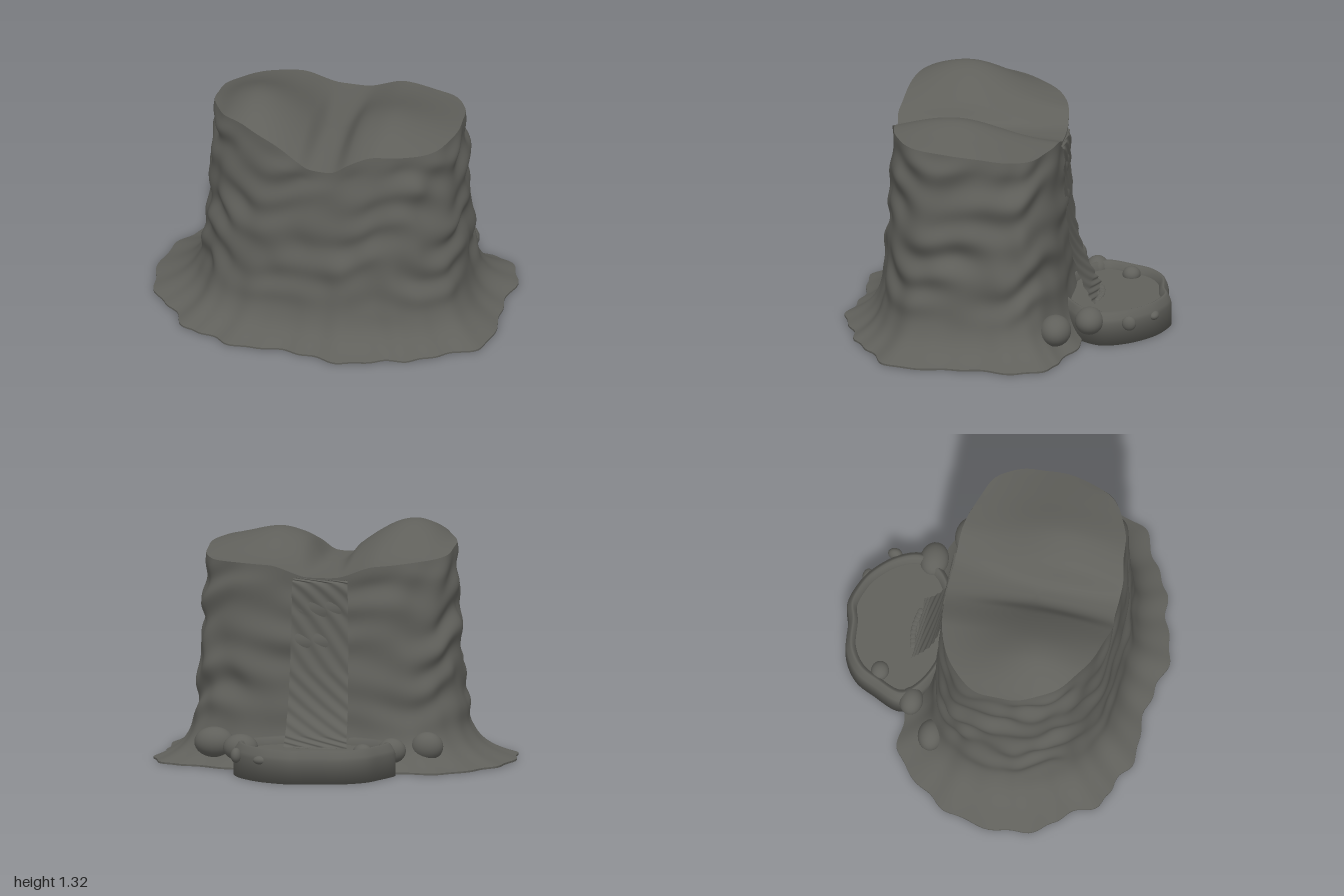
import * as THREE from 'three';

const rock = new THREE.MeshStandardMaterial({ color: 0x60605b });
rock.name = 'dark stone';
const sheet = new THREE.MeshStandardMaterial({ color: 0x60605b, side: THREE.DoubleSide });
sheet.name = 'dark stone sheet';

const N = 240; // samples around every closed outline
const { smoothstep, clamp } = THREE.MathUtils;

const outline = (flat) => {
  const pts = [];
  for (let i = 0; i < flat.length; i += 2) pts.push(new THREE.Vector3(flat[i], 0, flat[i + 1]));
  const curve = new THREE.CatmullRomCurve3(pts, true);
  return Array.from({ length: N }, (_, i) => curve.getPoint(i / N));
};

// Skin a stack of closed rows (each running +x, +z, -x, -z); outside faces out when rows go up
function loft(name, rows) {
  const n = rows[0].length, index = [];
  for (let r = 0; r < rows.length - 1; r++) {
    for (let i = 0; i < n; i++) {
      const a = r * n + i, b = r * n + (i + 1) % n;
      index.push(a, a + n, b, b, a + n, b + n);
    }
  }
  const geo = new THREE.BufferGeometry().setFromPoints(rows.flat());
  geo.setIndex(index);
  geo.computeVertexNormals();
  const mesh = new THREE.Mesh(geo, rock);
  mesh.name = name;
  return mesh;
}

// Ground outline of the apron and matching outline of the cliff top, as x, z pairs
const mid = new THREE.Vector3(0.03, 0, 0.18);
const foot = outline([0.99, -0.15, 0.96, 0.1, 0.97, 0.32, 0.93, 0.58, 0.74, 0.69, 0.58, 0.79, 0.4, 0.83,
  0.2, 0.895, 0, 0.85, -0.2, 0.82, -0.42, 0.83, -0.58, 0.75, -0.72, 0.7, -0.82, 0.53, -0.94, 0.4,
  -0.99, 0.18, -0.95, -0.1, -0.84, -0.28, -0.66, -0.46, -0.45, -0.47, -0.15, -0.45, 0.2, -0.45,
  0.5, -0.45, 0.75, -0.37, 0.9, -0.32]);
foot.forEach((p, i) => p.addScaledVector(p.clone().sub(mid).normalize(), 0.009 * Math.sin(i / N * Math.PI * 2 * 25)));
const brow = outline([0.71, -0.05, 0.725, 0.1, 0.72, 0.26, 0.68, 0.41, 0.57, 0.53, 0.44, 0.59, 0.3, 0.61,
  0.17, 0.63, 0.03, 0.63, -0.13, 0.62, -0.28, 0.59, -0.42, 0.53, -0.53, 0.45, -0.6, 0.35, -0.64, 0.22,
  -0.65, 0.1, -0.63, -0.03, -0.57, -0.14, -0.46, -0.22, -0.33, -0.28, -0.12, -0.31, 0.18, -0.31,
  0.4, -0.29, 0.56, -0.23, 0.67, -0.15]);

// Height of the two humps and the channel between them
const ridge = [[-0.75, 1.18], [-0.62, 1.225], [-0.5, 1.295], [-0.4, 1.32], [-0.28, 1.29], [-0.1, 1.175],
  [-0.04, 1.105], [0.02, 1.085], [0.1, 1.1], [0.18, 1.195], [0.28, 1.24], [0.38, 1.255], [0.55, 1.22], [0.8, 1.16]];
function topHeight(x, z) {
  let k = 0;
  while (k < ridge.length - 2 && x > ridge[k + 1][0]) k++;
  const t = clamp((x - ridge[k][0]) / (ridge[k + 1][0] - ridge[k][0]), 0, 1);
  const slope = (i) => {
    const a = ridge[Math.max(i - 1, 0)], b = ridge[Math.min(i + 1, ridge.length - 1)];
    return (b[1] - a[1]) / (b[0] - a[0]);
  };
  const d = ridge[k + 1][0] - ridge[k][0], t2 = t * t, t3 = t2 * t;
  const h = (2 * t3 - 3 * t2 + 1) * ridge[k][1] + (t3 - 2 * t2 + t) * d * slope(k)
    + (3 * t2 - 2 * t3) * ridge[k + 1][1] + (t3 - t2) * d * slope(k + 1);
  const bell = Math.exp(-(((z - 0.28) / (z > 0.28 ? 0.42 : 0.36)) ** 2));
  const base = 1.065 + 0.055 * smoothstep(Math.abs(x - 0.03), 0.08, 0.3);
  return base + (h - base) * bell;
}

// Broken ledges and upright folds, strongest at the two ends
function ledge(x, u, y) {
  const a = u * Math.PI * 2;
  const wave = Math.sin(y * 29 + 1.5 * Math.sin(a * 3 + 0.5) + Math.sin(a * 7 + y * 3)) * (0.75 + 0.35 * Math.sin(a * 5 + y * 9))
    + 0.45 * Math.sin(y * 16 + a * 4) + 0.45 * Math.sin(a * 14 + 2.5 * Math.sin(y * 6));
  return (0.009 + 0.005 * smoothstep(Math.abs(x), 0.35, 0.6)) * wave * smoothstep(y, 0.12, 0.38);
}

function wallPoint(i, v) {
  const h = topHeight(brow[i].x, brow[i].z), y = v * h;
  const flare = 0.24 * (1 - v) + 0.76 * Math.exp(-y / 0.08);
  const p = brow[i].clone().lerp(foot[i], Math.min(flare, 1));
  const out = p.clone().sub(mid).normalize();
  p.addScaledVector(out, ledge(p.x, i / N, y) * (1 - 0.5 * smoothstep(v, 0.9, 1)));
  p.y = y + 0.012 * (1 - v);
  return p;
}

function ringsToCentre(edge, centre, steps, height) {
  return Array.from({ length: steps + 1 }, (_, s) => edge.map((e) => {
    const p = e.clone().lerp(centre, Math.min(s / steps, 0.999));
    if (s > 0) p.y = height(p.x, p.z);
    return p;
  }));
}

function blob(name, x, y, z, rx, ry, rz) {
  const m = new THREE.Mesh(new THREE.SphereGeometry(1, 24, 16), rock);
  m.name = name;
  m.position.set(x, y, z);
  m.scale.set(rx, ry, rz);
  return m;
}

export function createModel() {
  const model = new THREE.Group();
  model.name = 'cliffWithWaterfall';

  // Cliff wall flaring into the apron
  const walls = Array.from({ length: 91 }, (_, r) =>
    Array.from({ length: N }, (_, i) => wallPoint(i, r / 90)));
  const ground = foot.map((p) => p.clone().setY(0.002));
  model.add(loft('cliffWall', walls));
  model.add(loft('apronEdge', [ground, walls[0]]));
  model.add(loft('cliffTop', ringsToCentre(walls[90], mid, 30, topHeight)));
  model.add(loft('underside', ringsToCentre(ground, mid, 2, () => 0.002).reverse()));

  // Pond basin: base, wall and bevelled rim in one skin, then the flat water
  const shore = outline([0.2, -0.31, 0.3, -0.36, 0.4, -0.43, 0.475, -0.56, 0.43, -0.7, 0.31, -0.83, 0.22, -0.88,
    0.1, -0.912, 0, -0.885, -0.18, -0.86, -0.3, -0.78, -0.36, -0.67, -0.42, -0.5, -0.35, -0.41, -0.2, -0.33, 0, -0.3]
    .reduceRight((acc, _, i, all) => (i % 2 ? acc : [...acc, all[i], all[i + 1]]), []));
  const pondMid = new THREE.Vector3(0.03, 0, -0.57);
  const pondRow = ([s, y]) => shore.map((p) => p.clone().sub(pondMid).multiplyScalar(s).add(pondMid).setY(y));
  const basin = [[0.001, 0], [1, 0], [1, 0.125], [0.985, 0.145], [0.94, 0.178], [0.91, 0.185], [0.88, 0.18], [0.84, 0.155], [0.83, 0.138]];
  model.add(loft('pondBasin', basin.map(pondRow)));
  model.add(loft('pondWater', [[0.84, 0.142], [0.4, 0.142], [0.001, 0.142]].map(pondRow)));

  // Waterfall: a thin rippled sheet
  const drop = new THREE.CatmullRomCurve3([[1.065, -0.305], [1.04, -0.322], [0.85, -0.327], [0.55, -0.352],
    [0.35, -0.395], [0.2, -0.46], [0.142, -0.495]].map(([y, z]) => new THREE.Vector3(0, y, z)));
  const fall = new THREE.PlaneGeometry(1, 1, 40, 120);
  const pos = fall.attributes.position;
  for (let i = 0; i < pos.count; i++) {
    const u = pos.getX(i), t = 0.5 - pos.getY(i), p = drop.getPoint(t);
    const ripple = 0.004 * Math.sin(u * 18 + t * 75);
    pos.setXYZ(i, 0.033 + u * (0.3 + 0.055 * t), p.y, p.z - ripple);
  }
  fall.computeVertexNormals();
  const waterfall = new THREE.Mesh(fall, sheet);
  waterfall.name = 'waterfall';
  model.add(waterfall);

  // Foam where the water lands
  for (let i = 0; i < 9; i++) {
    const arc = Math.sin((i / 8) * Math.PI);
    model.add(blob('foam', -0.07 + i * 0.025, 0.142, -0.505 - 0.014 * arc, 0.022, 0.007, 0.016));
  }

  // Boulders around the pond
  [[0.625, 0.135, -0.325, 0.112, 0.085, 0.088], [0.45, 0.135, -0.495, 0.098, 0.075, 0.08],
    [0.44, 0.125, -0.715, 0.03, 0.042, 0.04], [0.28, 0.12, -0.835, 0.045, 0.025, 0.03],
    [-0.565, 0.135, -0.295, 0.09, 0.08, 0.073], [-0.39, 0.13, -0.445, 0.08, 0.07, 0.065],
    [-0.26, 0.15, -0.65, 0.055, 0.045, 0.05]].forEach((b) => model.add(blob('boulder', ...b)));

  return model;
}
